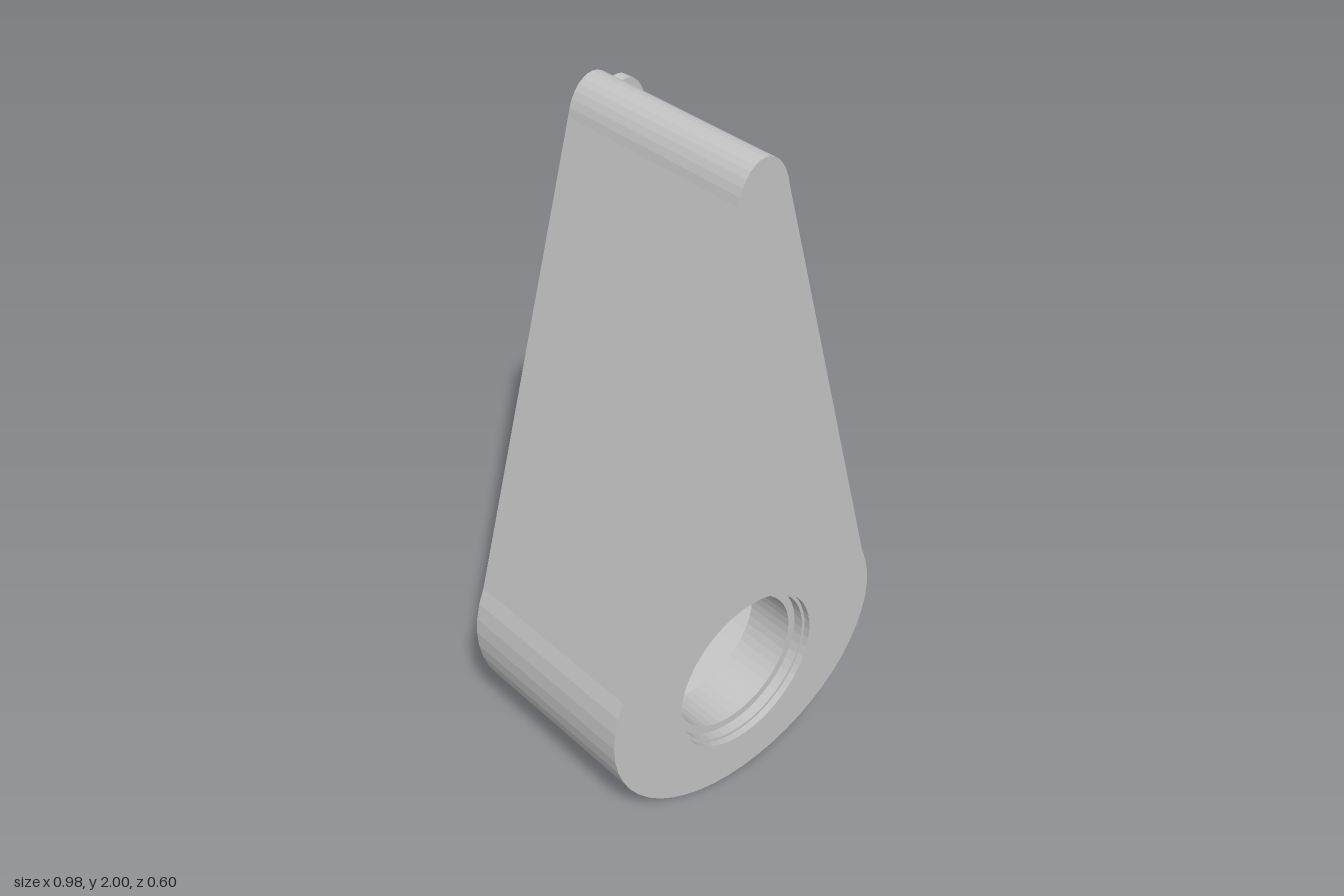
import * as THREE from 'three';

// Teardrop outline: wide lower ellipse joined by straight sides to a narrow tip
function teardrop(Path, inset, tipDrop = inset) {
  const pts = [];
  const arc = (cy, a, b, from, to, n) => {
    for (let i = 0; i <= n; i++) {
      const t = THREE.MathUtils.degToRad(from + (to - from) * i / n);
      pts.push(new THREE.Vector2(a * Math.cos(t), cy + b * Math.sin(t)));
    }
  };
  arc(0.42, 0.49 - inset, 0.42 - inset, -202, 22, 32);
  arc(1.87, 0.085 - inset, 0.13 - tipDrop, 15, 165, 14);
  return new Path(pts);
}

function circle(y, r) {
  return new THREE.Path().absarc(0, y, r, 0, Math.PI * 2, true);
}

function slab(name, shape, z0, z1, material) {
  const geometry = new THREE.ExtrudeGeometry(shape, { depth: z1 - z0, bevelEnabled: false, curveSegments: 24 });
  geometry.translate(0, 0, z0);
  const mesh = new THREE.Mesh(geometry, material);
  mesh.name = name;
  return mesh;
}

export function createModel() {
  const model = new THREE.Group();
  model.name = 'teardropCase';
  const grey = new THREE.MeshStandardMaterial({ color: 0xc4c4c4 });
  grey.name = 'grey';

  // Front wall in layers, with a bore that steps inward
  const body = new THREE.Group();
  body.name = 'body';
  const layers = [
    ['frontFace', 0.28, 0.3, 0.25],
    ['boreStep', 0.25, 0.28, 0.24],
    ['boreWall', 0.1, 0.25, 0.215],
  ];
  for (const [name, z0, z1, r] of layers) {
    const shape = teardrop(THREE.Shape, 0);
    shape.holes.push(circle(0.39, r));
    body.add(slab(name, shape, z0, z1, grey));
  }

  // Hollow rear shell, open at the back
  const shell = teardrop(THREE.Shape, 0);
  shell.holes.push(teardrop(THREE.Path, 0.02));
  body.add(slab('shell', shell, -0.3, 0.1, grey));
  model.add(body);

  // Back cover with three screw holes, swung slightly aside about the lowest one
  const pivot = 0.38;
  const plate = teardrop(THREE.Shape, 0.02, 0.03);
  for (const y of [pivot, 1.33, 1.77]) plate.holes.push(circle(y, 0.03));
  const cover = slab('backCover', plate, -0.3, -0.265, grey);
  cover.geometry.translate(0, -pivot, 0);
  cover.position.y = pivot;
  cover.rotation.z = -0.05;
  model.add(cover);

  return model;
}
